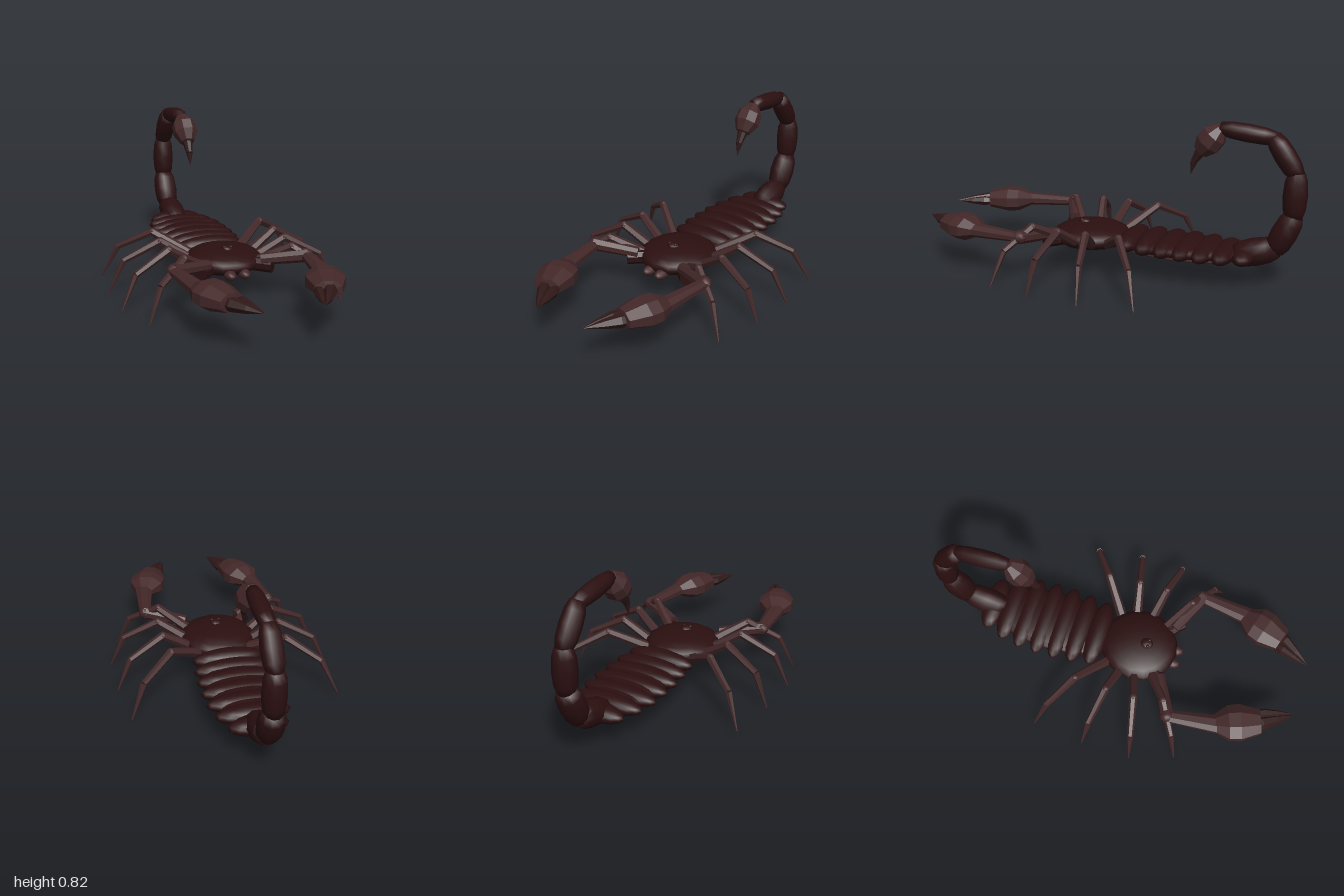
import * as THREE from 'three';

const V = (x, y, z) => new THREE.Vector3(x, y, z);
const mat = (name, color) => {
  const m = new THREE.MeshStandardMaterial({ color });
  m.name = name;
  return m;
};

// Lathe profiles as [position along the part, share of its radius]
const BARREL = [[0, 0], [0, 0.68], [0.2, 0.92], [0.5, 1], [0.8, 0.92], [1, 0.68], [1, 0]];
const PALM = [[0, 0], [0, 0.48], [0.3, 0.96], [0.55, 1], [0.97, 0.68], [1, 0]];
const BULB = [[0, 0], [0.03, 0.45], [0.3, 0.95], [0.6, 1], [0.9, 0.6], [1, 0]];
const SPIKE = [[0, 0], [0.02, 0.75], [0.25, 1], [0.6, 0.65], [1, 0]];
const taper = (a, b) => [[0, 0], [0, a], [1, b], [1, 0]];

// Turned part running from a to b; flat squashes its upright thickness
function limb(name, material, a, b, r, profile, { sides = 8, flat = 1, facets = true } = {}) {
  const dir = b.clone().sub(a);
  const len = dir.length();
  dir.normalize();
  const pts = profile.map(([t, k]) => new THREE.Vector2(k * r, t * len));
  let geo = new THREE.LatheGeometry(pts, sides, Math.PI / sides);
  if (facets) {
    geo = geo.toNonIndexed();
    geo.computeVertexNormals();
  }
  const side = V(0, 1, 0).cross(dir);
  if (side.length() < 0.01) side.set(1, 0, 0);
  side.normalize();
  const mesh = new THREE.Mesh(geo, material);
  mesh.quaternion.setFromRotationMatrix(
    new THREE.Matrix4().makeBasis(side, dir, side.clone().cross(dir)));
  mesh.position.copy(a);
  mesh.scale.z = flat;
  mesh.name = name;
  return mesh;
}

function ellipsoid(name, material, pos, size, w = 16, h = 10) {
  const mesh = new THREE.Mesh(new THREE.SphereGeometry(1, w, h), material);
  mesh.position.copy(pos);
  mesh.scale.copy(size);
  mesh.name = name;
  return mesh;
}

export function createModel() {
  const model = new THREE.Group();
  model.name = 'scorpion';
  const shell = mat('dark shell', 0x2b0f10);
  const limbs = mat('brown limbs', 0x432728);
  const tips = mat('dark tips', 0x301818);

  // Head shield, eye bump and jaws
  model.add(ellipsoid('carapace', shell, V(0, 0.17, 0.115), V(0.197, 0.067, 0.205)));
  model.add(ellipsoid('eyeBump', shell, V(0, 0.232, 0.155), V(0.032, 0.018, 0.035), 10, 8));
  for (const s of [-1, 1]) {
    model.add(ellipsoid('jaw', limbs, V(s * 0.037, 0.143, 0.3), V(0.03, 0.027, 0.052), 10, 8));
    model.add(ellipsoid('eye', shell, V(s * 0.018, 0.243, 0.165), V(0.01, 0.008, 0.01), 8, 6));
  }

  // Overlapping back segments
  const abdomen = new THREE.Group();
  abdomen.name = 'abdomen';
  [0.185, 0.2, 0.208, 0.21, 0.205, 0.185, 0.147].forEach((w, i) => {
    abdomen.add(ellipsoid('abdomenSegment', shell,
      V(0, 0.17 - i * 0.002, -0.115 - i * 0.098), V(w, 0.05 - i * 0.001, 0.062)));
  });
  abdomen.add(ellipsoid('abdomenCore', shell, V(0, 0.162, -0.36), V(0.165, 0.042, 0.38)));
  abdomen.add(ellipsoid('bellyPlate', limbs, V(0, 0.13, -0.37), V(0.135, 0.027, 0.32)));
  model.add(abdomen);

  // Tail curling up and forward
  const tail = new THREE.Group();
  tail.name = 'tail';
  const joints = [[0.148, -0.65], [0.205, -0.85], [0.375, -0.93], [0.585, -0.935],
    [0.755, -0.82], [0.782, -0.57]].map(([y, z]) => V(0, y, z));
  [0.07, 0.067, 0.06, 0.054, 0.045].forEach((r, i) => {
    const a = joints[i], b = joints[i + 1];
    const extra = b.clone().sub(a).multiplyScalar(0.05);
    tail.add(limb('tailSegment', shell, a.clone().sub(extra), b.clone().add(extra), r, BARREL,
      { sides: 10, facets: false }));
  });
  tail.add(limb('venomBulb', limbs, V(0, 0.79, -0.565), V(0, 0.645, -0.45), 0.068, BULB));
  const sting = [V(0, 0.675, -0.47), V(0, 0.605, -0.428), V(0, 0.54, -0.412)];
  tail.add(limb('stingBase', tips, sting[0], sting[1], 0.031, taper(1, 0.55)));
  tail.add(limb('stingTip', tips, sting[1], sting[2], 0.018, taper(1, 0.05)));
  model.add(tail);

  // Each leg: hip, knee, ankle, foot
  const legs = [
    [[0.12, 0.165, 0.21], [0.28, 0.265, 0.325], [0.425, 0.17, 0.415], [0.495, 0, 0.46]],
    [[0.16, 0.165, 0.135], [0.31, 0.265, 0.175], [0.49, 0.17, 0.215], [0.565, 0, 0.23]],
    [[0.16, 0.165, 0.055], [0.31, 0.265, 0.025], [0.49, 0.17, -0.015], [0.565, 0, -0.033]],
    [[0.13, 0.165, -0.02], [0.3, 0.265, -0.145], [0.46, 0.17, -0.255], [0.535, 0, -0.308]],
  ];
  for (const s of [-1, 1]) {
    const at = ([x, y, z]) => V(s * x, y, z);
    for (const points of legs) {
      const [hip, knee, ankle, foot] = points.map(at);
      const leg = new THREE.Group();
      leg.name = s > 0 ? 'leftLeg' : 'rightLeg';
      leg.add(limb('thigh', limbs, hip, knee, 0.026, taper(1, 0.8), { sides: 6 }));
      leg.add(ellipsoid('kneeJoint', limbs, knee, V(0.021, 0.021, 0.021), 8, 6));
      leg.add(limb('shin', limbs, knee, ankle, 0.021, taper(1, 0.75), { sides: 6 }));
      leg.add(limb('foot', limbs, ankle, foot, 0.017, taper(1, 0.2), { sides: 6 }));
      model.add(leg);
    }

    // Pincer arm
    const arm = new THREE.Group();
    arm.name = s > 0 ? 'leftPincerArm' : 'rightPincerArm';
    arm.add(limb('armBase', shell, at([0.08, 0.165, 0.2]), at([0.19, 0.165, 0.3]), 0.045,
      taper(0.8, 0.8)));
    arm.add(limb('upperArm', limbs, at([0.14, 0.195, 0.27]), at([0.35, 0.225, 0.37]), 0.036,
      taper(0.8, 1)));
    arm.add(ellipsoid('elbow', limbs, at([0.345, 0.223, 0.365]), V(0.036, 0.034, 0.036), 8, 6));
    arm.add(limb('forearm', limbs, at([0.345, 0.223, 0.36]), at([0.308, 0.22, 0.64]), 0.05,
      taper(0.65, 1), { flat: 0.72 }));
    arm.add(limb('palm', limbs, at([0.31, 0.22, 0.61]), at([0.23, 0.22, 0.84]), 0.1, PALM,
      { flat: 0.67 }));
    arm.add(limb('outerFinger', tips, at([0.265, 0.218, 0.8]), at([0.142, 0.216, 0.995]), 0.034,
      SPIKE, { sides: 6 }));
    arm.add(limb('innerFinger', tips, at([0.195, 0.218, 0.8]), at([0.138, 0.216, 0.985]), 0.026,
      SPIKE, { sides: 6 }));
    model.add(arm);
  }
  return model;
}
